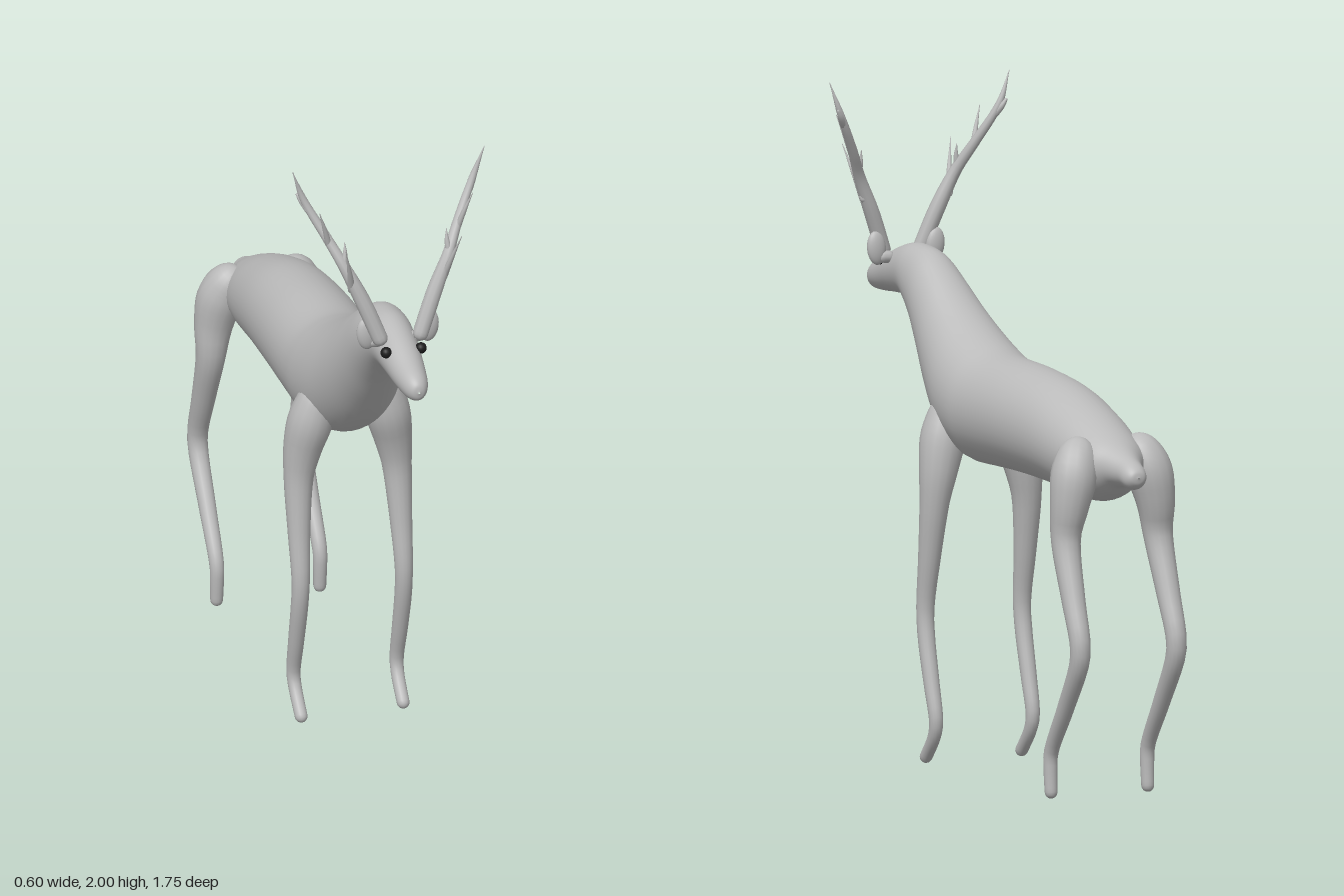
import * as THREE from 'three';

const V = (x, y, z) => new THREE.Vector3(x, y, z);

// Closed smooth skin over rows x cols points given by at(v, angle)
function skin(rows, cols, at) {
  const pos = [], index = [];
  for (let i = 0; i <= rows; i++) {
    for (let j = 0; j < cols; j++) pos.push(...at(i / rows, (j / cols) * Math.PI * 2).toArray());
  }
  for (let i = 0; i < rows; i++) {
    for (let j = 0; j < cols; j++) {
      const a = i * cols + j, b = i * cols + (j + 1) % cols;
      index.push(a, b, a + cols, b, b + cols, a + cols);
    }
  }
  const geo = new THREE.BufferGeometry();
  geo.setAttribute('position', new THREE.Float32BufferAttribute(pos, 3));
  geo.setIndex(index);
  geo.computeVertexNormals();
  return geo;
}

// Round-ended tapering limb through [x, y, z, radius] points; side mirrors it
function limb(points, side, rows = 48, cols = 16) {
  const path = new THREE.CatmullRomCurve3(points.map(p => V(p[0] * side, p[1], p[2])));
  const radii = new THREE.SplineCurve(points.map((p, i) => new THREE.Vector2(i, p[3])));
  const length = path.getLength();
  return skin(rows, cols, (v, a) => {
    const u = (1 - Math.cos(v * Math.PI)) / 2;
    const c = path.getPointAt(u), t = path.getTangentAt(u);
    let r = Math.max(radii.getPoint(path.getUtoTmapping(u)).y, 0.001);
    const e = Math.min(1, Math.min(u, 1 - u) * length / r);
    r *= Math.sqrt(Math.max(1e-5, 1 - (1 - e) ** 2));
    const n = V(1, 0, 0).addScaledVector(t, -t.x).normalize();
    const b = t.clone().cross(n);
    return c.addScaledVector(n, r * Math.cos(a)).addScaledVector(b, r * Math.sin(a));
  });
}

// Head, neck, trunk and tail: z, top, bottom, half width
const bodySections = [
  [0.876, 1.372, 1.366, 0.003], [0.868, 1.395, 1.343, 0.022], [0.84, 1.415, 1.332, 0.038],
  [0.78, 1.437, 1.332, 0.05], [0.70, 1.47, 1.337, 0.06], [0.62, 1.495, 1.335, 0.068],
  [0.56, 1.50, 1.305, 0.077], [0.48, 1.487, 1.225, 0.09], [0.40, 1.44, 1.125, 0.106],
  [0.30, 1.37, 1.01, 0.13], [0.20, 1.31, 0.93, 0.152], [0.10, 1.265, 0.905, 0.16],
  [0, 1.24, 0.905, 0.157], [-0.2, 1.23, 0.907, 0.153], [-0.4, 1.205, 0.9, 0.145],
  [-0.56, 1.157, 0.885, 0.134], [-0.66, 1.115, 0.885, 0.12], [-0.72, 1.085, 0.91, 0.10],
  [-0.765, 1.06, 0.938, 0.068], [-0.81, 1.037, 0.945, 0.046], [-0.85, 1.018, 0.942, 0.038],
  [-0.872, 1.0, 0.957, 0.024], [-0.878, 0.981, 0.977, 0.003],
];

function bodyGeometry() {
  const curve = f => new THREE.CatmullRomCurve3(bodySections.map(f), false, 'catmullrom', 0.5);
  const top = curve(s => V(0, s[1], s[0]));
  const low = curve(s => V(s[3], s[2], s[0]));
  return skin(110, 36, (v, a) => {
    const p = top.getPoint(v), q = low.getPoint(v);
    return V(q.x * Math.cos(a), (p.y + q.y) / 2 - (p.y - q.y) / 2 * Math.sin(a), p.z);
  });
}

const frontLeg = [
  [0.085, 1.10, 0.19, 0.05], [0.118, 0.98, 0.18, 0.068], [0.14, 0.88, 0.168, 0.058],
  [0.152, 0.79, 0.168, 0.045], [0.158, 0.62, 0.19, 0.034], [0.16, 0.46, 0.214, 0.027],
  [0.161, 0.38, 0.205, 0.026], [0.161, 0.25, 0.172, 0.024], [0.16, 0.13, 0.142, 0.021],
  [0.159, 0.09, 0.155, 0.02], [0.158, 0.006, 0.225, 0.019],
];
const hindLeg = [
  [0.085, 1.08, -0.66, 0.05], [0.122, 0.98, -0.695, 0.07], [0.143, 0.88, -0.703, 0.058],
  [0.152, 0.79, -0.698, 0.045], [0.157, 0.62, -0.755, 0.036], [0.159, 0.48, -0.808, 0.031],
  [0.159, 0.43, -0.803, 0.03], [0.159, 0.28, -0.71, 0.026], [0.16, 0.135, -0.616, 0.022],
  [0.16, 0.09, -0.613, 0.021], [0.16, 0, -0.618, 0.019],
];

// Main antler beam followed by its pointed tines
const antlerBranches = [
  [[0.055, 1.45, 0.69, 0.024], [0.11, 1.59, 0.67, 0.024], [0.16, 1.70, 0.65, 0.018],
    [0.20, 1.78, 0.612, 0.015], [0.262, 1.90, 0.568, 0.011], [0.298, 2.0, 0.572, 0.001]],
  [[0.14, 1.62, 0.655, 0.012], [0.155, 1.69, 0.685, 0.008], [0.18, 1.79, 0.724, 0.001]],
  [[0.198, 1.76, 0.615, 0.01], [0.215, 1.82, 0.63, 0.007], [0.238, 1.89, 0.648, 0.001]],
  [[0.165, 1.70, 0.65, 0.012], [0.158, 1.745, 0.645, 0.007], [0.158, 1.78, 0.64, 0.001]],
  [[0.245, 1.86, 0.58, 0.011], [0.267, 1.895, 0.56, 0.009], [0.28, 1.918, 0.552, 0.004]],
];

export function createModel() {
  const coat = new THREE.MeshStandardMaterial({ color: 0xbababa });
  coat.name = 'grey coat';
  const dark = new THREE.MeshStandardMaterial({ color: 0x1c1c1c });
  dark.name = 'dark eye';

  const model = new THREE.Group();
  model.name = 'deer';
  const add = (name, geo, mat = coat, parent = model) => {
    const mesh = new THREE.Mesh(geo, mat);
    mesh.name = name;
    parent.add(mesh);
    return mesh;
  };

  add('body', bodyGeometry());

  for (const [side, label] of [[1, 'left'], [-1, 'right']]) {
    add(`${label} front leg`, limb(frontLeg, side));
    add(`${label} hind leg`, limb(hindLeg, side));

    // Antler
    const antler = new THREE.Group();
    antler.name = `${label} antler`;
    model.add(antler);
    antlerBranches.forEach((branch, i) =>
      add(i ? 'tine' : 'beam', limb(branch, side, i ? 14 : 36, 10), coat, antler));

    // Ear: short base and a flattened upright lobe
    const ear = add(`${label} ear`, new THREE.SphereGeometry(1, 20, 14));
    ear.scale.set(0.03, 0.051, 0.018);
    ear.position.set(side * 0.097, 1.48, 0.662);
    ear.rotation.z = side * -0.1;
    add(`${label} ear base`, limb([[0.04, 1.45, 0.66, 0.02], [0.095, 1.455, 0.662, 0.019]], side, 12, 10));

    // Eye
    const eye = add(`${label} eye`, new THREE.SphereGeometry(0.017, 16, 12), dark);
    eye.position.set(side * 0.054, 1.438, 0.72);
  }
  return model;
}
